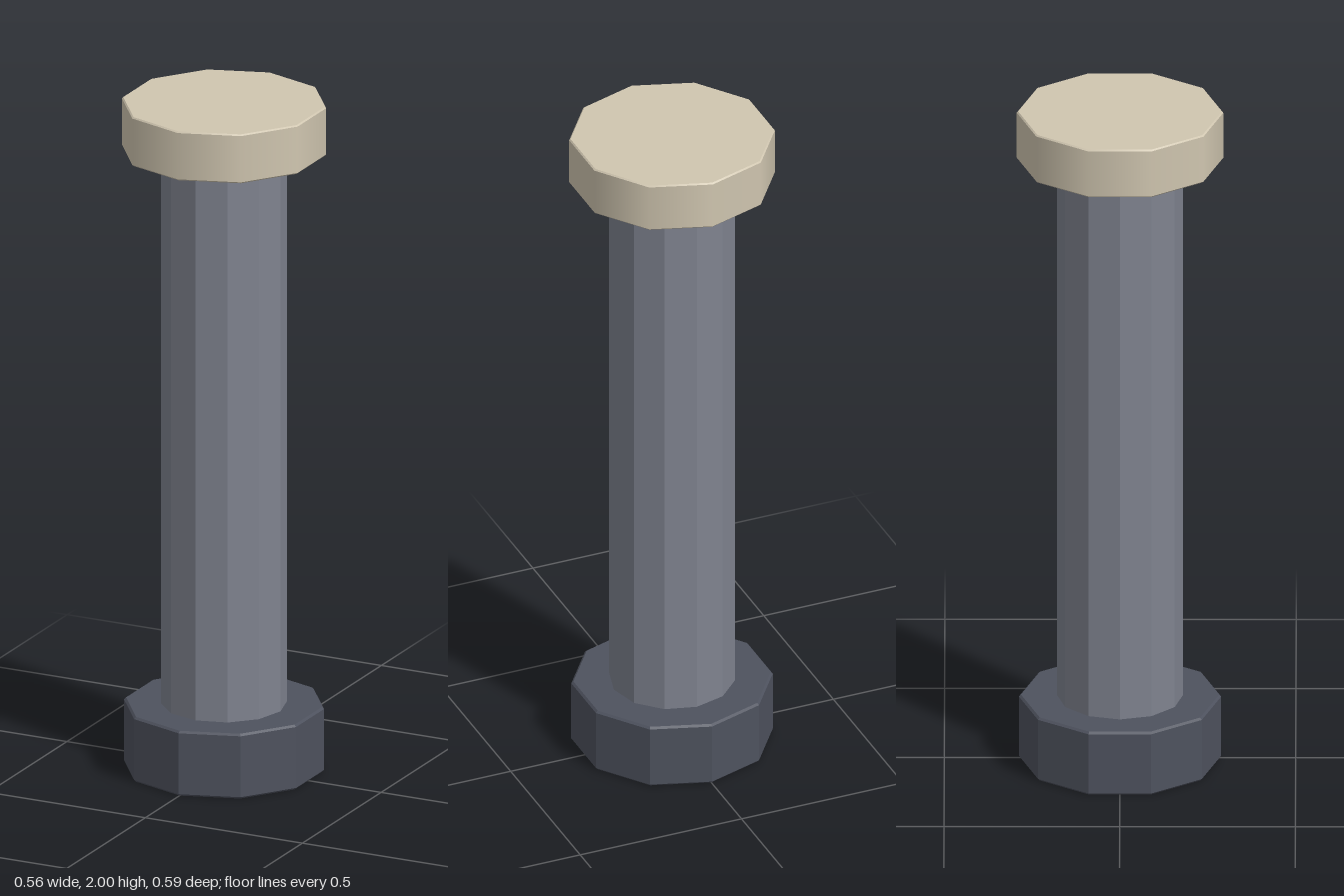
import * as THREE from 'three';

const material = (name, color, flatShading = false) => {
  const m = new THREE.MeshStandardMaterial({ color, flatShading });
  m.name = name;
  return m;
};

// Closed ten-sided disc with a narrow bevel on both rims
function disc(name, radius, y0, y1, bevel, mat) {
  const group = new THREE.Group();
  group.name = name;
  const add = (rTop, rBottom, a, b, open) => {
    const geo = new THREE.CylinderGeometry(rTop, rBottom, b - a, 10, 1, open);
    const mesh = new THREE.Mesh(geo, mat);
    mesh.position.y = (a + b) / 2;
    mesh.name = name + 'Side';
    group.add(mesh);
  };
  const inner = radius - bevel;
  add(radius, radius, y0 + bevel, y1 - bevel, true);
  add(inner, radius, y1 - bevel, y1, true);
  add(radius, inner, y0, y0 + bevel, true);
  // End faces
  for (const [y, turn] of [[y1, -1], [y0, 1]]) {
    const face = new THREE.Mesh(new THREE.CircleGeometry(inner, 10, Math.PI / 2), mat);
    face.rotation.x = turn * Math.PI / 2;
    face.position.y = y;
    face.name = name + 'Face';
    group.add(face);
  }
  return group;
}

export function createModel() {
  const model = new THREE.Group();
  model.name = 'column';
  const cream = material('cream', 0xd0c6b0);
  const grey = material('slateGrey', 0x7f838f, true);
  const dark = material('darkSlate', 0x4e525e, true);

  // Foot and top slab
  model.add(disc('base', 0.288, 0, 0.195, 0.006, dark));
  model.add(disc('cap', 0.294, 1.853, 2, 0.004, cream));

  // Twelve-sided shaft between them
  const shaft = new THREE.Mesh(new THREE.CylinderGeometry(0.18, 0.18, 1.68, 12), grey);
  shaft.position.y = 1.025;
  shaft.name = 'shaft';
  model.add(shaft);
  return model;
}
